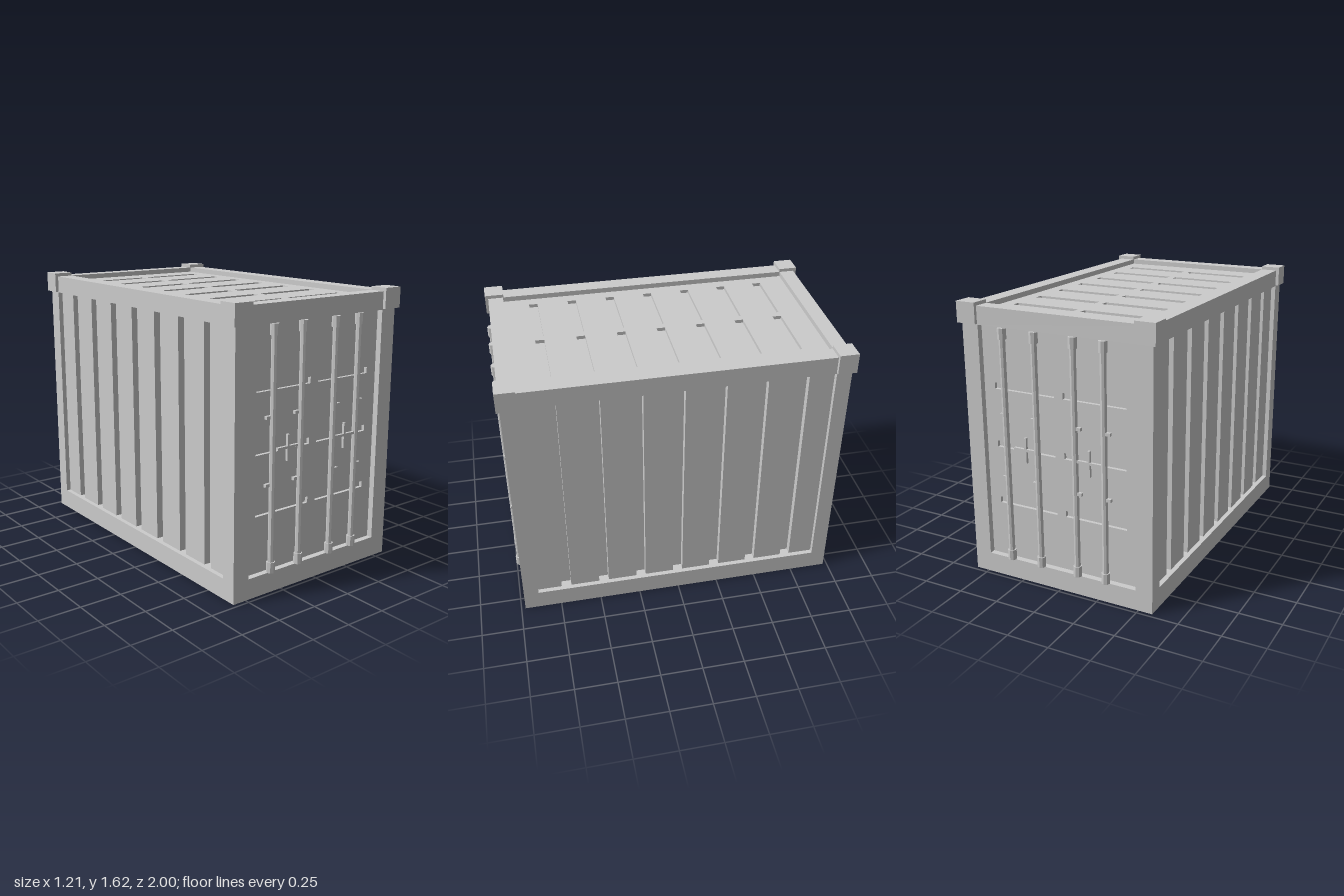
import * as THREE from 'three';

const material = new THREE.MeshStandardMaterial({ color: 0xcccccc, flatShading: true, side: THREE.DoubleSide });

const W = 0.585, L = 0.975, H = 1.605;   // half width, half length, height of the shell
const SILL = 0.12, HEAD = 1.5;           // bottom and top of the wall openings

function add(parent, name, geometry, x = 0, y = 0, z = 0) {
  const mesh = new THREE.Mesh(geometry, material);
  mesh.name = name;
  mesh.position.set(x, y, z);
  parent.add(mesh);
  return mesh;
}

// rectangle [x0, y0, x1, y1] as corner points
const corners = ([x0, y0, x1, y1]) => [[x0, y0], [x1, y0], [x1, y1], [x0, y1]].map(p => new THREE.Vector2(...p));

// flat sheet with rectangular holes
function sheet(rect, holes = []) {
  const shape = new THREE.Shape(corners(rect));
  holes.forEach(h => shape.holes.push(new THREE.Path(corners(h).reverse())));
  return new THREE.ShapeGeometry(shape);
}

// strip that carries a line of points from z0 to z1
function wall(points, z0, z1, closed) {
  const pos = [];
  const n = closed ? points.length : points.length - 1;
  for (let i = 0; i < n; i++) {
    const a = points[i], b = points[(i + 1) % points.length];
    pos.push(a.x, a.y, z0, a.x, a.y, z1, b.x, b.y, z1, a.x, a.y, z0, b.x, b.y, z1, b.x, b.y, z0);
  }
  const g = new THREE.BufferGeometry();
  g.setAttribute('position', new THREE.Float32BufferAttribute(pos, 3));
  g.computeVertexNormals();
  return g;
}

// frame around a recessed panel that has pressed-in slots
function recessedFace(parent, name, outer, opening, depth, slots, slotDepth) {
  add(parent, name + 'Frame', sheet(outer, [opening]));
  add(parent, name + 'Reveal', wall(corners(opening), 0, -depth, true));
  add(parent, name + 'Panel', sheet(opening, slots), 0, 0, -depth);
  slots.forEach(s => {
    add(parent, name + 'SlotEdge', wall(corners(s), -depth, -depth - slotDepth, true));
    add(parent, name + 'SlotBack', sheet(s), 0, 0, -depth - slotDepth);
  });
}

// end wall with doors, locking rods and handles
function createEnd() {
  const end = new THREE.Group();
  end.name = 'doorEnd';
  const slots = [];
  for (const y of [0.466, 0.812, 1.156]) {
    slots.push([-0.413, y - 0.018, -0.028, y + 0.018], [0.028, y - 0.018, 0.413, y + 0.018]);
  }
  recessedFace(end, 'door', [-W, 0, W, H], [-0.482, SILL, 0.482, HEAD], 0.035, slots, 0.02);

  for (const x of [-0.325, -0.123, 0.118, 0.298]) {
    add(end, 'lockingRod', new THREE.CylinderGeometry(0.018, 0.018, HEAD - SILL, 8), x, (SILL + HEAD) / 2, 0);
    for (const y of [SILL + 0.031, HEAD - 0.031]) {
      add(end, 'rodCap', new THREE.CylinderGeometry(0.025, 0.025, 0.062, 8), x, y, 0);
    }
    // short tabs beside the rods
    const side = x < 0 ? -1 : 1;
    for (const y of [0.624, 1.0]) {
      add(end, 'rodTab', new THREE.BoxGeometry(0.042, 0.018, 0.018), x + side * 0.021, y, x < 0 ? -0.012 : 0.002);
    }
  }
  for (const side of [-1, 1]) {
    const z = side < 0 ? -0.012 : 0.002;
    add(end, 'handleBar', new THREE.BoxGeometry(0.155, 0.014, 0.016), side * 0.205, 0.814, z);
    add(end, 'handleLever', new THREE.BoxGeometry(0.014, 0.15, 0.016), side * 0.207, 0.811, z);
  }
  return end;
}

// long side with a grooved wall
function createSide() {
  const side = new THREE.Group();
  side.name = 'longSide';
  const edge = 0.885, face = -0.028, groove = -0.068;
  add(side, 'sideFrame', sheet([-L, 0, L, H], [[-edge, SILL, edge, HEAD]]));

  const profile = [[-edge, 0], [-edge, face]];
  for (let i = -3; i <= 3; i++) {
    const c = i * 0.236;
    profile.push([c - 0.03, face], [c - 0.03, groove], [c + 0.03, groove], [c + 0.03, face]);
  }
  profile.push([edge, face], [edge, 0]);
  const points = profile.map(p => new THREE.Vector2(...p));
  add(side, 'groovedWall', wall(points, -SILL, -HEAD, false).rotateX(Math.PI / 2));
  for (const y of [SILL, HEAD]) {
    add(side, 'wallLedge', new THREE.ShapeGeometry(new THREE.Shape(points)).rotateX(Math.PI / 2), 0, y, 0);
  }
  return side;
}

export function createModel() {
  const model = new THREE.Group();
  model.name = 'shippingContainer';

  for (const s of [1, -1]) {
    const end = createEnd();
    end.position.z = s * L;
    end.rotation.y = s > 0 ? 0 : Math.PI;
    const side = createSide();
    side.position.x = s * W;
    side.rotation.y = s * Math.PI / 2;
    model.add(end, side);
  }

  // roof with two rows of slots
  const roof = new THREE.Group();
  roof.name = 'roof';
  const slots = [];
  for (let i = -3; i <= 3; i++) {
    const z = i * 0.236;
    slots.push([-0.418, z - 0.026, -0.026, z + 0.026], [0.02, z - 0.026, 0.412, z + 0.026]);
  }
  recessedFace(roof, 'roof', [-W, -L, W, L], [-0.487, -0.885, 0.487, 0.885], 0.03, slots, 0.02);
  roof.rotation.x = -Math.PI / 2;
  roof.position.y = H;
  model.add(roof);

  // corner blocks
  for (const x of [-1, 1]) for (const z of [-1, 1]) {
    add(model, 'cornerBlock', new THREE.BoxGeometry(0.12, 0.12, 0.112), x * 0.545, 1.565, z * 0.938);
  }
  return model;
}
